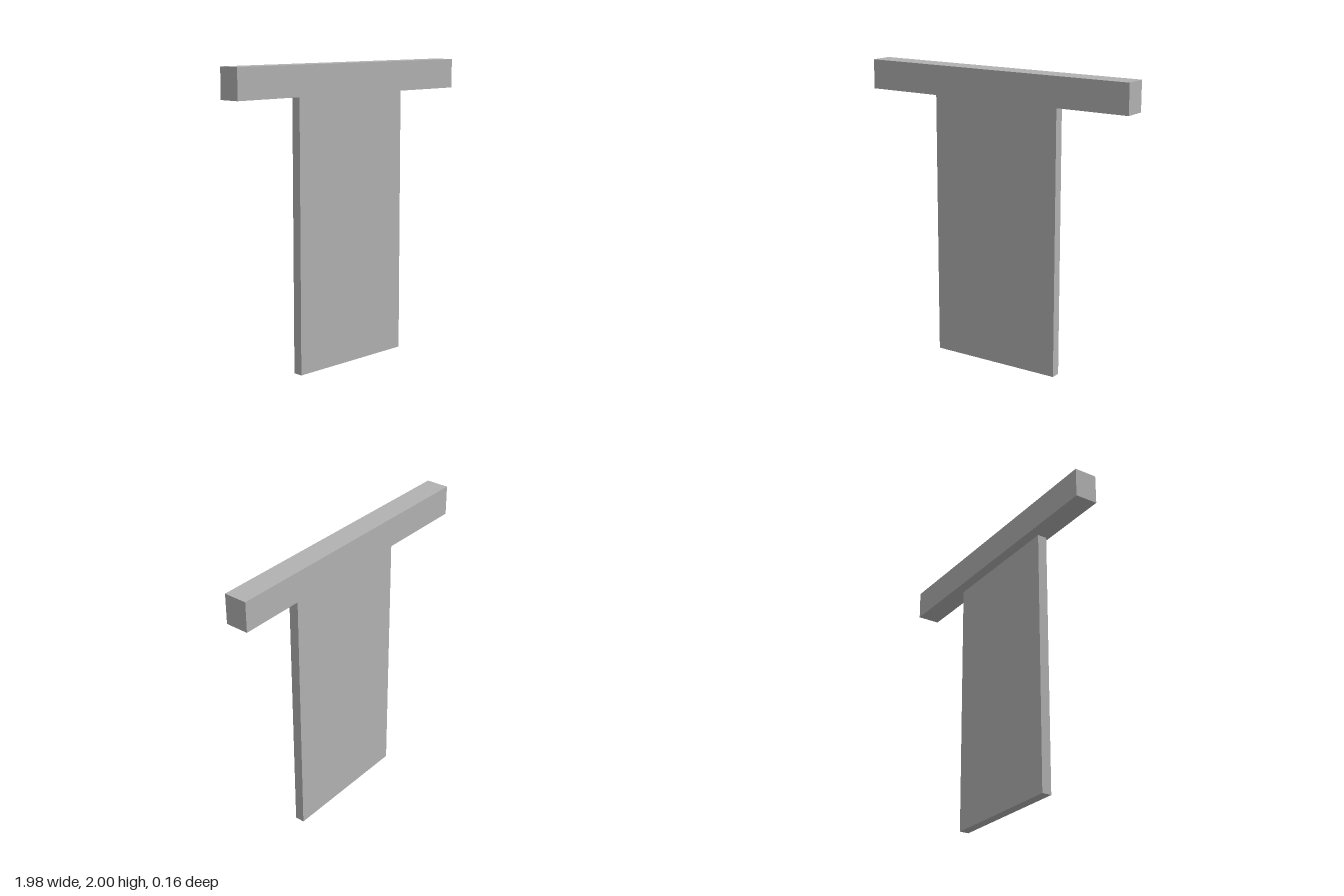
import * as THREE from 'three';

export function createModel() {
  const model = new THREE.Group();
  const grey = new THREE.MeshStandardMaterial({ color: 0xb2b2b2 });
  grey.name = 'grey';

  function addBox(name, size, position) {
    const mesh = new THREE.Mesh(new THREE.BoxGeometry(...size), grey);
    mesh.name = name;
    mesh.position.set(...position);
    model.add(mesh);
  }

  // Horizontal beam across the top
  addBox('crossbeam', [1.976, 0.2, 0.156], [0, 1.9, 0]);

  // Thin slab hanging below the beam, set forward of its centre
  addBox('panel', [0.94, 1.8, 0.066], [0, 0.9, 0.025]);

  return model;
}
